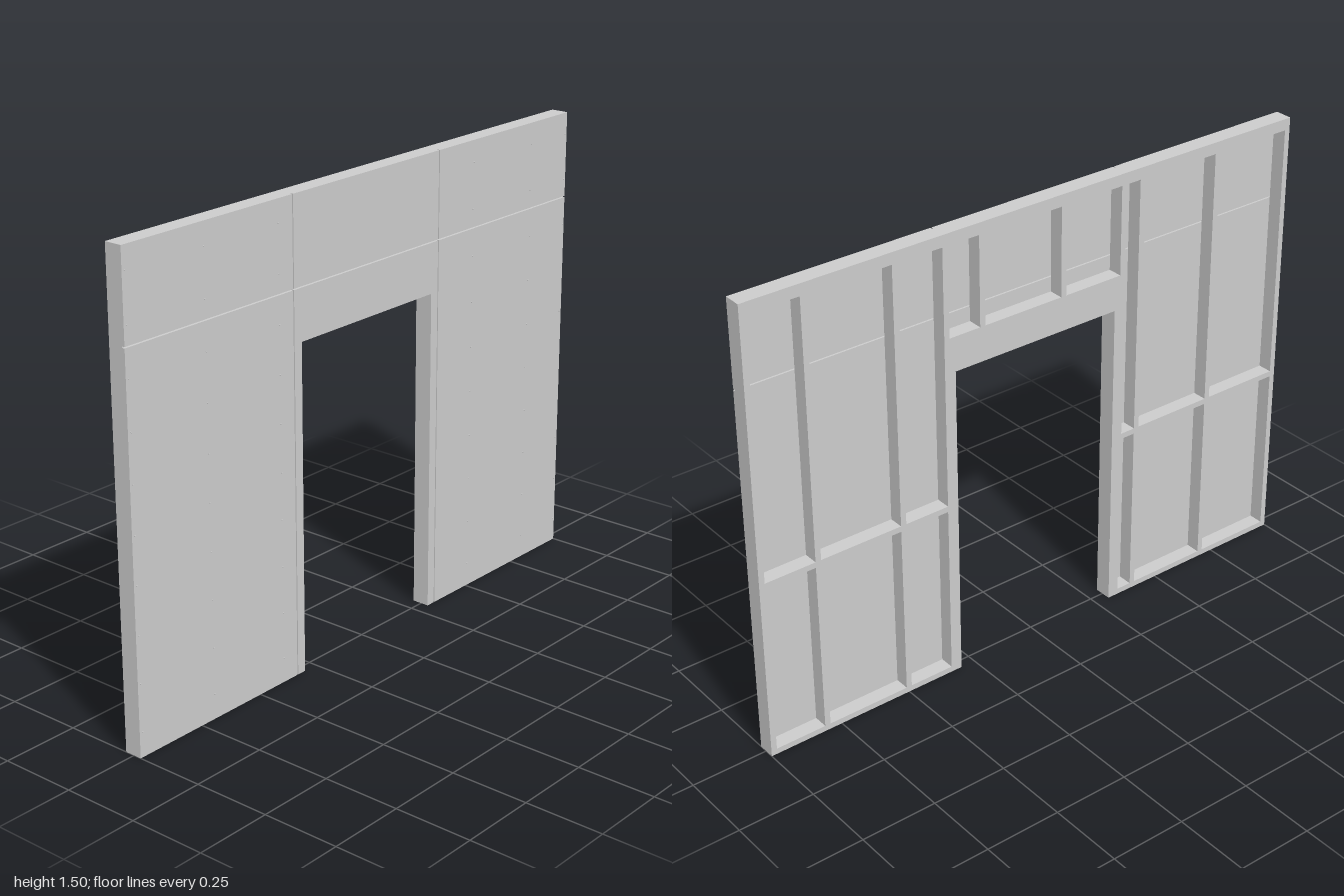
import * as THREE from 'three';

const HEIGHT = 1.5, HALF = 1;            // wall size
const T = 0.019;                         // timber thickness
const BACK = -0.031, FACE = 0.018, SKIN = 0.027; // frame back, frame front, panel front
const OPEN = 0.3, OPEN_TOP = 1.055;      // doorway
const JOINT_Z = 0.333, JOINT_Y = 1.22, GAP = 0.002; // panel joints
const PLATE = HEIGHT - 2 * T;            // underside of the top plates
const HEADER_TOP = 1.15;

const material = new THREE.MeshStandardMaterial({ color: 0xcccccc });

export function createModel() {
  const wall = new THREE.Group();
  wall.name = 'framedWall';

  // box from its limits
  const box = (name, x0, x1, y0, y1, z0, z1) => {
    const mesh = new THREE.Mesh(new THREE.BoxGeometry(x1 - x0, y1 - y0, z1 - z0), material);
    mesh.position.set((x0 + x1) / 2, (y0 + y1) / 2, (z0 + z1) / 2);
    mesh.name = name;
    wall.add(mesh);
  };
  const timber = (name, y0, y1, z0, z1) => box(name, BACK, FACE, y0, y1, z0, z1);
  const panel = (y0, y1, z0, z1) => box('panel', FACE, SKIN, y0, y1, z0, z1);
  const stud = (name, z, y0, y1) => timber(name, y0, y1, z - T / 2, z + T / 2);

  // plates
  timber('topPlate', HEIGHT - T, HEIGHT, -HALF, HALF);
  timber('lowerTopPlate', PLATE, HEIGHT - T, -HALF, HALF);
  timber('bottomPlate', 0, T, -HALF, -OPEN);
  timber('bottomPlate', 0, T, OPEN, HALF);

  // studs: ends, kings, trimmers and regular spacing
  const end = HALF - T / 2, king = OPEN + 1.5 * T;
  const sides = [[-end, -0.8, -0.5, -king], [king, 0.4, 0.7, end]];
  for (const row of sides) {
    row.forEach((z) => stud('stud', z, T, PLATE));
    // blocking between neighbouring studs
    for (let i = 0; i < row.length - 1; i++)
      timber('blocking', 0.59, 0.59 + T, row[i] + T / 2, row[i + 1] - T / 2);
  }
  for (const s of [-1, 1]) stud('trimmerStud', s * (OPEN + T / 2), T, OPEN_TOP);

  // header over the doorway with short studs above
  timber('header', OPEN_TOP, HEADER_TOP, -OPEN - T, OPEN + T);
  timber('headerPlate', HEADER_TOP, HEADER_TOP + T, -OPEN - T, OPEN + T);
  for (const z of [-0.2, 0.1]) stud('crippleStud', z, HEADER_TOP + T, PLATE);

  // sheathing panels
  const low = JOINT_Y - GAP, high = JOINT_Y + GAP, inner = JOINT_Z - GAP, outer = JOINT_Z + GAP;
  for (const [y0, y1] of [[0, low], [high, HEIGHT]]) {
    panel(y0, y1, -HALF, -outer);
    panel(y0, y1, outer, HALF);
  }
  panel(high, HEIGHT, -inner, inner);
  panel(OPEN_TOP, low, -OPEN, OPEN);
  panel(0, low, -inner, -OPEN);
  panel(0, low, OPEN, inner);

  // screw heads along the studs
  const screwGeometry = new THREE.CylinderGeometry(0.002, 0.002, 0.004, 8).rotateZ(-Math.PI / 2);
  for (const z of [-0.99, -0.805, -0.505, 0.395, 0.695, 0.99])
    for (let i = 0; i < 10; i++) {
      const screw = new THREE.Mesh(screwGeometry, material);
      screw.name = 'screwHead';
      screw.position.set(SKIN + 0.002, 0.08 + i * 0.15, z);
      wall.add(screw);
    }

  return wall;
}
